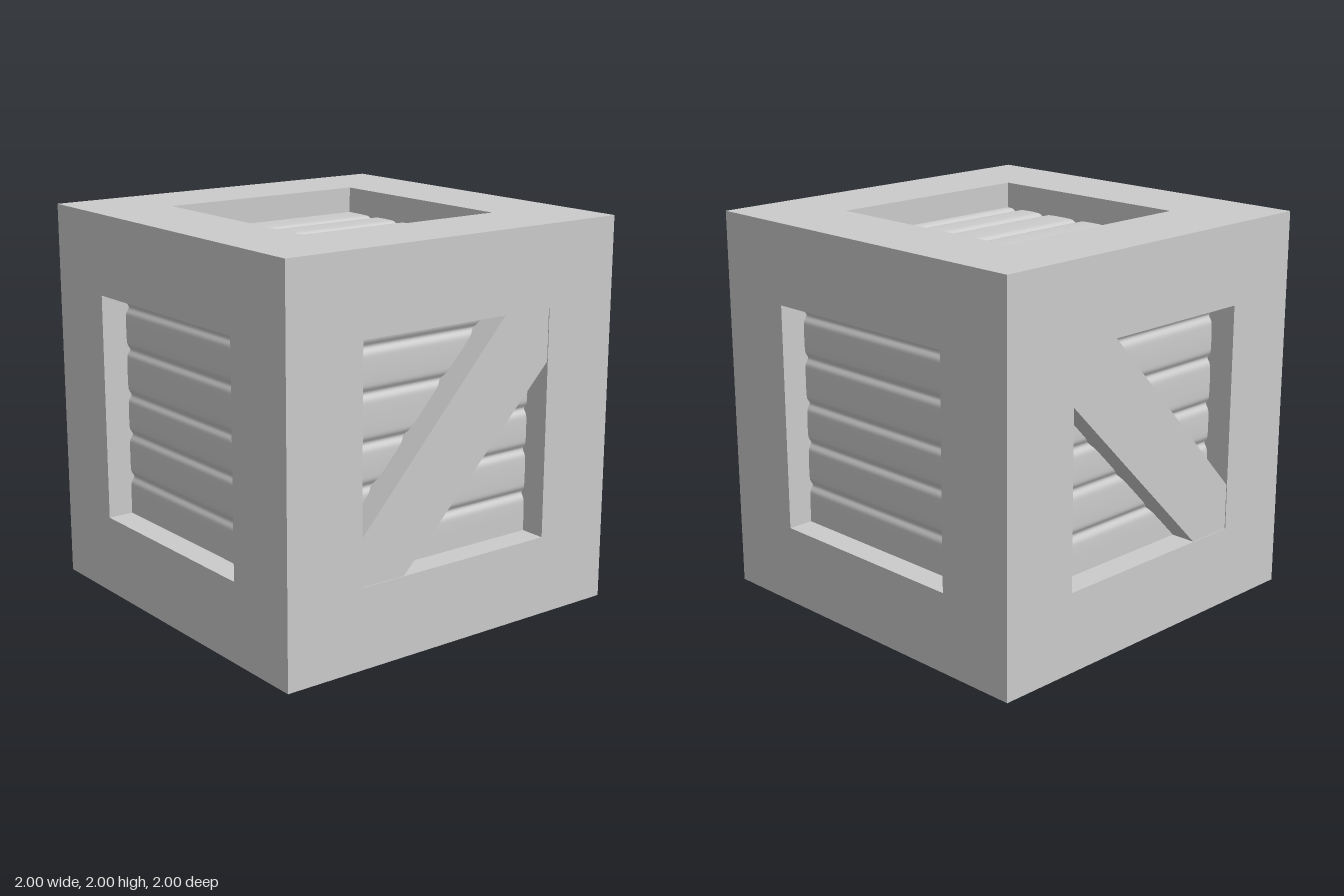
import * as THREE from 'three';

const HALF = 1, THICK = 0.17, PANEL = 0.865; // frame thickness, plank surface distance from centre
const HOLE_X = 0.575, HOLE_Y = 0.5875;
const material = new THREE.MeshStandardMaterial({ color: 0xcccccc });

function polygon(points) {
  return new THREE.Shape(points.map(([x, y]) => new THREE.Vector2(x, y)));
}
function rectangle(hx, hy) {
  return [[-hx, -hy], [hx, -hy], [hx, hy], [-hx, hy]];
}
function part(name, geometry) {
  const mesh = new THREE.Mesh(geometry, material);
  mesh.name = name;
  return mesh;
}

// Square border around a recessed opening, outer surface at z = HALF
function frameGeometry(hx, hy, holeY) {
  const shape = polygon(rectangle(hx, hy));
  shape.holes.push(polygon(rectangle(HOLE_X, holeY).reverse()));
  return new THREE.ExtrudeGeometry(shape, { depth: THICK, bevelEnabled: false })
    .translate(0, 0, HALF - THICK);
}

// Row of slightly rounded planks with soft grooves between them
function plankGeometry(grooves, upright) {
  const geometry = new THREE.PlaneGeometry(1.2, 1.2, 1, 120);
  const pos = geometry.attributes.position;
  for (let i = 0; i < pos.count; i++) {
    const d = Math.min(...grooves.map((g) => Math.abs(pos.getY(i) - g)));
    const dip = 0.016 * Math.exp(-((d / 0.02) ** 2)) + 0.004 * Math.max(0, 1 - d / 0.11) ** 2;
    pos.setZ(i, PANEL - dip);
  }
  geometry.computeVertexNormals();
  return upright ? geometry.rotateZ(-Math.PI / 2) : geometry;
}

// Diagonal board across a side opening; dir mirrors it in local x
function braceGeometry(dir) {
  const outline = [[0.29, 0.5875], [-0.575, -0.35], [-0.575, -0.5875],
    [-0.32, -0.5875], [0.575, 0.32], [0.575, 0.5875]].map(([x, y]) => [x * dir, y]);
  return new THREE.ExtrudeGeometry(polygon(outline), { depth: THICK - 0.004, bevelEnabled: false })
    .translate(0, 0, HALF - THICK);
}

export function createModel() {
  const crate = new THREE.Group();
  crate.name = 'crate';
  const inner = HALF - THICK, q = Math.PI / 2;
  const level = [-0.39, -0.16, 0.05, 0.29, 0.51];
  const along = [-0.38, -0.16, 0.06, 0.305, 0.51];

  // Each face is built facing +z, then turned into place
  const faces = [
    { name: 'front', rot: [0, 0, 0], hx: HALF, hy: HALF },
    { name: 'back', rot: [0, 2 * q, 0], hx: HALF, hy: HALF },
    { name: 'left', rot: [0, q, 0], hx: inner, hy: HALF, brace: 1 },
    { name: 'right', rot: [0, -q, 0], hx: inner, hy: HALF, brace: -1 },
    { name: 'top', rot: [-q, 0, 0], hx: inner, hy: inner, flat: true },
    { name: 'bottom', rot: [q, 0, 0], hx: inner, hy: inner, flat: true },
  ];
  for (const f of faces) {
    const side = new THREE.Group();
    side.name = f.name + 'Side';
    side.add(part(f.name + 'Frame', frameGeometry(f.hx, f.hy, f.flat ? HOLE_X : HOLE_Y)));
    side.add(part(f.name + 'Planks', plankGeometry(f.flat ? along : level, f.flat)));
    if (f.brace) side.add(part(f.name + 'Brace', braceGeometry(f.brace)));
    side.rotation.set(...f.rot);
    side.position.y = HALF;
    crate.add(side);
  }
  return crate;
}
